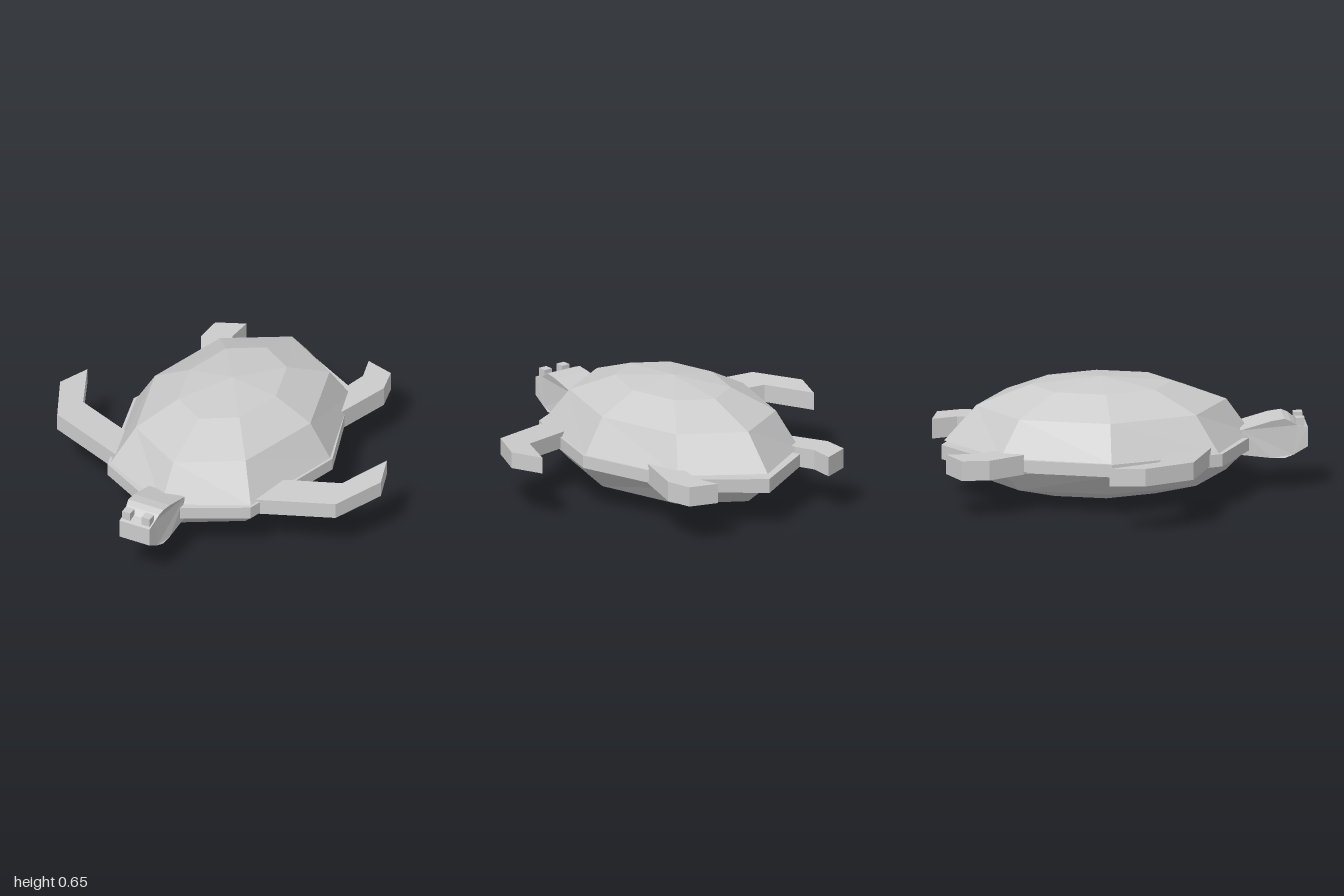
import * as THREE from 'three';

const grey = () => new THREE.MeshStandardMaterial({ color: 0xcccccc, flatShading: true });

function meshFrom(name, geometry) {
  geometry.computeVertexNormals();
  const mesh = new THREE.Mesh(geometry, grey());
  mesh.name = name;
  return mesh;
}

// Slab with an outline of [x, z, bottom y, top y] corners
function slab(name, corners) {
  let ring = corners;
  const flat = (r) => r.map(([x, z]) => new THREE.Vector2(x, -z));
  if (THREE.ShapeUtils.isClockWise(flat(ring))) ring = [...ring].reverse();
  const n = ring.length;
  const pos = [];
  const put = (i, top) => pos.push(ring[i][0], ring[i][top ? 3 : 2], ring[i][1]);
  for (const [a, b, c] of THREE.ShapeUtils.triangulateShape(flat(ring), [])) {
    put(a, true); put(b, true); put(c, true);
    put(a, false); put(c, false); put(b, false);
  }
  for (let i = 0; i < n; i++) {
    const j = (i + 1) % n;
    put(i, false); put(j, false); put(j, true);
    put(i, false); put(j, true); put(i, true);
  }
  const g = new THREE.BufferGeometry();
  g.setAttribute('position', new THREE.Float32BufferAttribute(pos, 3));
  return meshFrom(name, g);
}

const mirror = (pts) => pts.map(([x, ...rest]) => [-x, ...rest]);

// Gives an [x, z] outline a thickness, with the top on a tilted plane
const tilted = (pts, base, slopeX, slopeZ, thick) => pts.map(([x, z]) => {
  const top = base + slopeX * Math.abs(x) + slopeZ * z;
  return [x, z, top - thick, top];
});

// Eight-cornered outline from its +x half (front tip to back tip)
const fullOutline = (half) => [...half, ...mirror(half.slice(1, -1)).reverse()];

const CENTRE_Z = -0.115;
const SHELL_EDGE = fullOutline([[0, 0.7], [0.43, 0.48], [0.595, -0.12], [0.41, -0.705], [0, -0.97]]);

// Half shell: apex, two regular rings, then the stretched edge
function halfShell(name, up) {
  const ring = (rx, rz, y) => SHELL_EDGE.map((_, i) => {
    const a = (i * Math.PI) / 4;
    return [rx * Math.sin(a), y, CENTRE_Z + rz * Math.cos(a)];
  });
  const [apex, inner, outer, edge] = up ? [0.65, 0.612, 0.503, 0.31] : [0, 0.032, 0.108, 0.24];
  const rings = [
    ring(0, 0, apex),
    ring(0.265, 0.385, inner),
    ring(0.477, 0.68, outer),
    SHELL_EDGE.map(([x, z]) => [x, edge, z]),
  ];
  const pos = [];
  const tri = (a, b, c) => pos.push(...a, ...(up ? b : c), ...(up ? c : b));
  for (let r = 0; r < 3; r++) {
    for (let i = 0; i < 8; i++) {
      const j = (i + 1) % 8;
      tri(rings[r][i], rings[r + 1][i], rings[r + 1][j]);
      if (r > 0) tri(rings[r][i], rings[r + 1][j], rings[r][j]);
    }
  }
  const g = new THREE.BufferGeometry();
  g.setAttribute('position', new THREE.Float32BufferAttribute(pos, 3));
  return meshFrom(name, g);
}

// Side profile extruded across x, with the snout drawn in
function makeHead() {
  const profile = [[1, 0.25], [1, 0.355], [0.94, 0.37], [0.905, 0.397], [0.87, 0.41], [0.8, 0.4],
    [0.63, 0.352], [0.63, 0.215], [0.8, 0.193], [0.87, 0.19], [0.92, 0.205]];
  const shape = new THREE.Shape(profile.map(([z, y]) => new THREE.Vector2(-z, y)));
  const g = new THREE.ExtrudeGeometry(shape, { depth: 0.22, bevelEnabled: false });
  g.translate(0, 0, -0.11);
  g.rotateY(Math.PI / 2);
  const p = g.attributes.position;
  for (let i = 0; i < p.count; i++) {
    const snout = THREE.MathUtils.clamp((p.getZ(i) - 0.86) / 0.08, 0, 1);
    p.setX(i, p.getX(i) * (1 - 0.16 * snout));
  }
  g.translate(-0.005, 0, 0);
  const head = new THREE.Group();
  head.name = 'head';
  head.add(meshFrom('skull', g));
  for (const s of [-1, 1]) {
    const eye = meshFrom(s > 0 ? 'leftEye' : 'rightEye', new THREE.BoxGeometry(0.05, 0.06, 0.05));
    eye.position.set(-0.006 + s * 0.06, 0.378, 0.957);
    head.add(eye);
  }
  return head;
}

export function createModel() {
  const model = new THREE.Group();
  model.name = 'turtle';

  // Shell halves and the rim between them
  model.add(halfShell('upperShell', true), halfShell('lowerShell', false));
  model.add(slab('shellRim', fullOutline([
    [0, 0.74, 0.24, 0.31], [0.44, 0.5, 0.24, 0.31], [0.61, -0.12, 0.24, 0.31],
    [0.38, -0.77, 0.23, 0.3], [0, -0.985, 0.205, 0.285],
  ])));

  model.add(makeHead());

  // Front flippers rise toward the tip; the right one is rolled leading edge up
  const front = [
    [0.3, 0.478], [0.42, 0.44], [0.855, 0.3], [0.985, 0.025],
    [0.92, -0.165], [0.795, 0.115], [0.48, 0.215], [0.3, 0.27],
  ];
  model.add(slab('leftFrontFlipper', tilted(front, 0.323, 0.045, -0.05, 0.09)));
  model.add(slab('rightFrontFlipper', tilted(mirror(front), 0.288, 0.095, 0.03, 0.098)));

  // Back flippers, each in a slightly different pose
  model.add(slab('leftBackFlipper', tilted([
    [0.46, -0.5], [0.555, -0.81], [0.52, -0.955], [0.36, -1], [0.4, -0.86], [0.375, -0.76], [0.36, -0.66],
  ], 0.335, 0, 0, 0.11)));
  model.add(slab('rightBackFlipper', tilted([
    [-0.445, -0.58], [-0.55, -0.78], [-0.545, -0.93], [-0.39, -1], [-0.4, -0.86], [-0.35, -0.75], [-0.35, -0.64],
  ], 0.335, 0, 0, 0.11)));
  return model;
}
